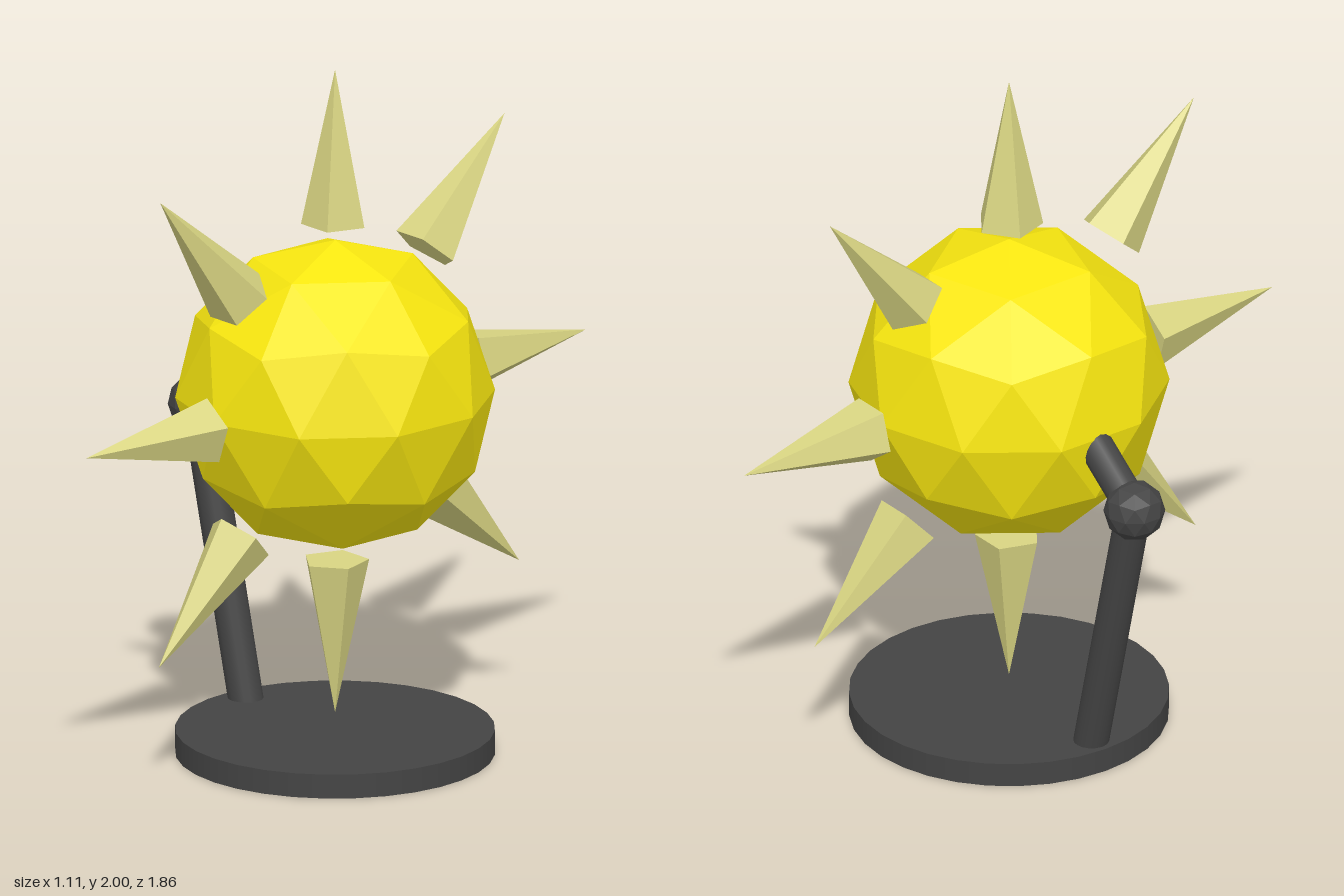
import * as THREE from 'three';

const CX = 0.107; // the ball and the base share this vertical axis

const paint = (color, flatShading = false) => new THREE.MeshStandardMaterial({ color, flatShading });

function add(parent, name, geometry, material, x = 0, y = 0, z = 0) {
  const mesh = new THREE.Mesh(geometry, material);
  mesh.name = name;
  mesh.position.set(x, y, z);
  parent.add(mesh);
  return mesh;
}

// Cylinder running from a to b in the z = 0 plane
function addRod(parent, name, a, b, radius, material) {
  const from = new THREE.Vector3(...a, 0), to = new THREE.Vector3(...b, 0);
  const dir = to.clone().sub(from);
  const rod = add(parent, name, new THREE.CylinderGeometry(radius, radius, dir.length(), 16), material);
  rod.position.copy(from).lerp(to, 0.5);
  rod.quaternion.setFromUnitVectors(new THREE.Vector3(0, 1, 0), dir.normalize());
}

// Faceted ball with a corner at each pole and an upper corner toward +x
function ballGeometry(radius) {
  return new THREE.IcosahedronGeometry(radius, 1)
    .rotateX(-Math.atan((1 + Math.sqrt(5)) / 2))
    .rotateY(Math.PI / 2);
}

export function createModel() {
  const model = new THREE.Group();
  model.name = 'spikedBallOnStand';
  const dark = paint(0x444444);
  const darkFaceted = paint(0x444444, true);
  const yellow = paint(0xf7e60f, true);
  const pale = paint(0xd8d482, true);

  // Stand: round base, leaning post, elbow joint and short arm into the ball
  const stand = new THREE.Group();
  stand.name = 'stand';
  model.add(stand);
  add(stand, 'base', new THREE.CylinderGeometry(0.449, 0.449, 0.07, 32), dark, CX, 0.035, 0);
  addRod(stand, 'post', [-0.27, 0.05], [-0.472, 0.887], 0.05, dark);
  add(stand, 'elbow', ballGeometry(0.087), darkFaceted, -0.475, 0.887, 0);
  addRod(stand, 'arm', [-0.475, 0.887], [-0.2, 1.085], 0.05, dark);

  // Ball
  add(model, 'ball', ballGeometry(0.45), yellow, CX, 1.05, 0);

  // Ring of loose five-sided spikes: [base z, base y, tip z, tip y]
  const spikes = new THREE.Group();
  spikes.name = 'spikes';
  model.add(spikes);
  const layout = [
    [0, 1.55, 0, 2.0],
    [0.355, 1.396, 0.65, 1.74],
    [0.478, 1.036, 0.925, 1.047],
    [0.352, 0.702, 0.655, 0.378],
    [0, 0.562, 0, 0.115],
    [-0.353, 0.718, -0.684, 0.423],
    [-0.485, 1.049, -0.932, 1.049],
    [-0.336, 1.407, -0.63, 1.745],
  ];
  layout.forEach(([bz, by, tz, ty], i) => {
    const length = Math.hypot(tz - bz, ty - by);
    const cone = new THREE.ConeGeometry(0.096, length, 5).rotateY(Math.PI).translate(0, length / 2, 0);
    const spike = add(spikes, `spike${i + 1}`, cone, pale, CX, by, bz);
    spike.rotation.x = Math.atan2(tz - bz, ty - by);
  });

  return model;
}
